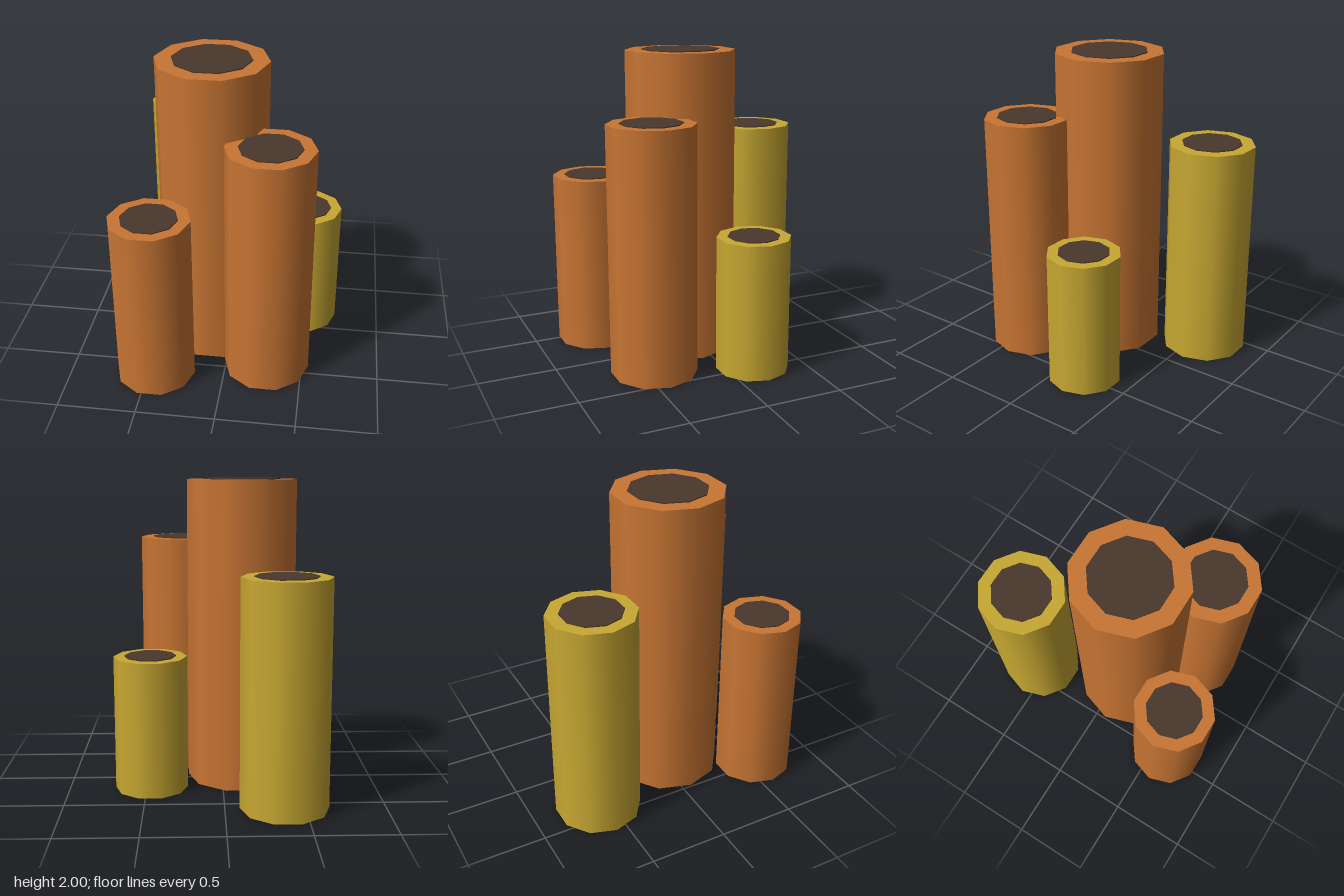
import * as THREE from 'three';

const SIDES = 10;

function paint(name, color) {
  const material = new THREE.MeshStandardMaterial({ color });
  material.name = name;
  return material;
}

// Upright ten-sided cylinder with corners on the x axis and its base at y
function decagon(name, radius, y, height, material) {
  const geometry = new THREE.CylinderGeometry(radius, radius, height, SIDES);
  geometry.rotateY(Math.PI / 2);
  geometry.translate(0, y + height / 2, 0);
  const mesh = new THREE.Mesh(geometry, material);
  mesh.name = name;
  return mesh;
}

export function createModel() {
  const orange = paint('orange', 0xc87533);
  const yellow = paint('mustard yellow', 0xc8a832);
  const dark = paint('dark brown', 0x4a372b);

  // Each pipe: name, x, z, radius, full height, colour
  const pipes = [
    ['tallCentrePipe', -0.13, 0.066, 0.357, 2.0, orange],
    ['frontLeftPipe', 0.267, 0.425, 0.278, 1.603, orange],
    ['frontRightPipe', -0.448, 0.583, 0.257, 1.165, orange],
    ['backRightPipe', -0.37, -0.57, 0.278, 1.443, yellow],
    ['backLeftPipe', 0.467, -0.173, 0.236, 0.883, yellow],
  ];

  const model = new THREE.Group();
  model.name = 'pipeCluster';
  const lip = 0.006;
  for (const [name, x, z, radius, height, material] of pipes) {
    const pipe = new THREE.Group();
    pipe.name = name;
    pipe.position.set(x, 0, z);
    // Outer wall, then the dark opening as a thin plate on top
    pipe.add(decagon('pipeBody', radius, 0, height - lip, material));
    pipe.add(decagon('pipeOpening', radius * 0.7, height - lip, lip, dark));
    model.add(pipe);
  }
  return model;
}
